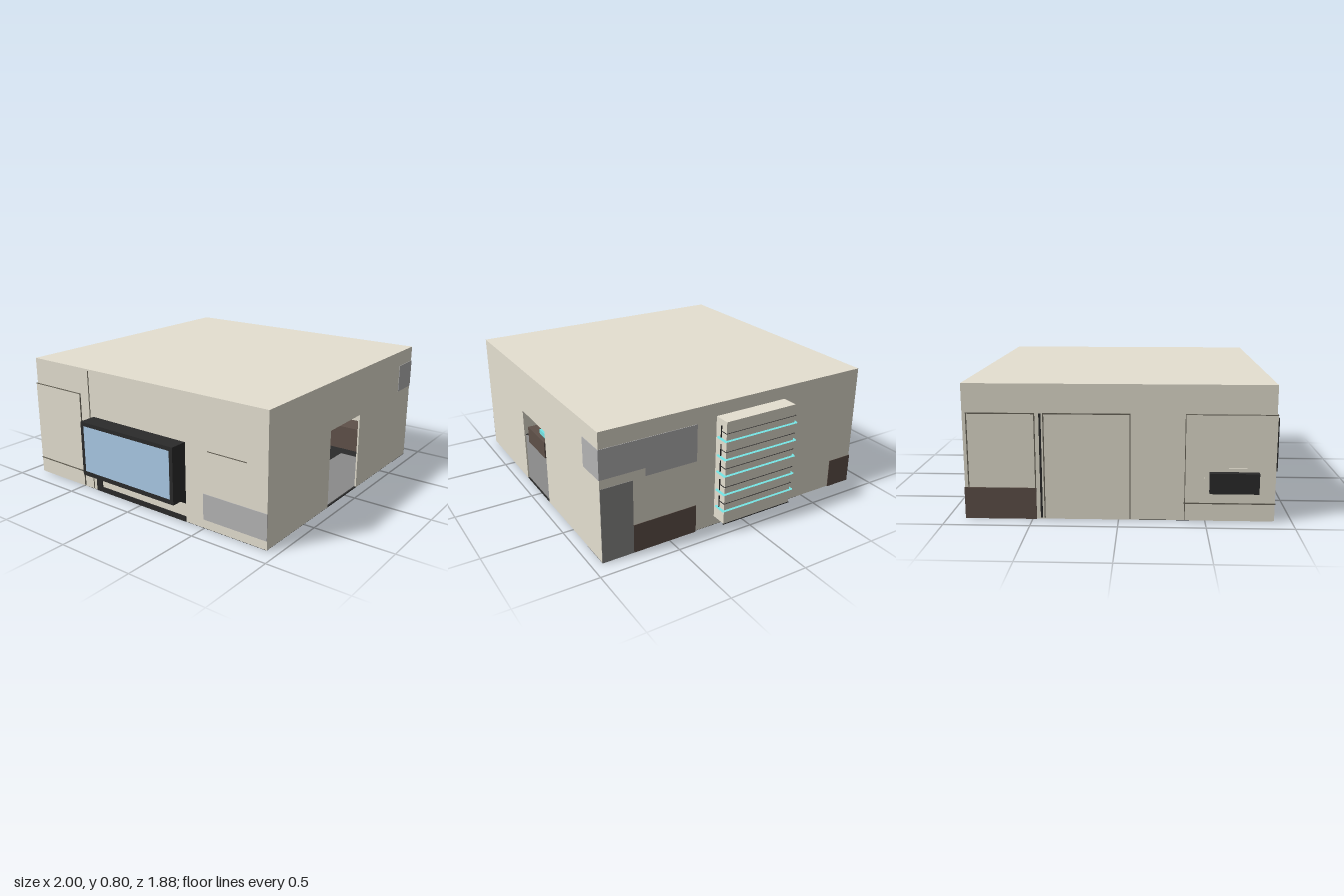
import * as THREE from 'three';

function mat(name, color) {
  const m = new THREE.MeshStandardMaterial({ color });
  m.name = name;
  return m;
}

export function createModel() {
  const room = new THREE.Group();
  room.name = 'room';

  const wall = mat('wall beige', 0xe5e0d1);
  const black = mat('black', 0x2b2b2b);
  const grey = mat('light grey', 0xb4b4b5);
  const darkGrey = mat('dark grey', 0x8b8b8a);
  const brown = mat('brown', 0x5f5149);
  const cyan = mat('cyan', 0x76e6e6);
  const blue = mat('glass blue', 0xabcbe7);
  const seam = mat('seam', 0x6a665a);
  // Blades are open sheets, so both faces show
  const bladeCyan = mat('blade cyan', 0x76e6e6);
  const bladeBlack = mat('blade black', 0x2b2b2b);
  bladeCyan.side = bladeBlack.side = THREE.DoubleSide;

  function add(name, geometry, material, parent = room) {
    const m = new THREE.Mesh(geometry, material);
    m.name = name;
    parent.add(m);
    return m;
  }

  // Box given by its limits on each axis
  function box(name, material, x0, x1, y0, y1, z0, z1, parent = room) {
    const m = add(name, new THREE.BoxGeometry(x1 - x0, y1 - y0, z1 - z0), material, parent);
    m.position.set((x0 + x1) / 2, (y0 + y1) / 2, (z0 + z1) / 2);
    return m;
  }

  // Thin upright plate with rounded corners, facing +z
  function roundedPlate(name, material, x0, x1, y0, y1, z, r, depth = 0.004) {
    const s = new THREE.Shape();
    s.moveTo(x0 + r, y0);
    s.lineTo(x1 - r, y0);
    s.quadraticCurveTo(x1, y0, x1, y0 + r);
    s.lineTo(x1, y1 - r);
    s.quadraticCurveTo(x1, y1, x1 - r, y1);
    s.lineTo(x0 + r, y1);
    s.quadraticCurveTo(x0, y1, x0, y1 - r);
    s.lineTo(x0, y0 + r);
    s.quadraticCurveTo(x0, y0, x0 + r, y0);
    const g = new THREE.ExtrudeGeometry(s, { depth, bevelEnabled: false, curveSegments: 6 });
    g.translate(0, 0, z);
    return add(name, g, material);
  }

  // Shell: roof, side and back walls
  const X = 0.89, ZB = -0.89, ZF = 0.935, T = 0.01, Y0 = 0.006;
  box('roof', wall, -X, X, 0.79, 0.8, ZB, ZF);
  box('leftWall', wall, X - T, X, Y0, 0.79, ZB, ZF);
  box('rightWall', wall, -X, -X + T, Y0, 0.79, ZB, ZF);
  box('backWall', wall, -X + T, X - T, Y0, 0.79, ZB, ZB + T);

  // Front wall with the doorway
  box('frontWallRight', wall, -X + T, -0.23, Y0, 0.79, ZF - T, ZF);
  box('frontWallLeft', wall, 0.14, X - T, Y0, 0.79, ZF - T, ZF);
  box('doorLintel', wall, -0.23, 0.14, 0.5, 0.79, ZF - T, ZF);

  // Floor: black main slab, paler strip behind with a black section
  const FX = X - 0.002;
  box('floor', black, -FX, FX, 0.003, 0.01, -0.46, ZF - 0.002);
  box('backFloorLeft', wall, -0.1, FX, 0.003, 0.01, ZB + 0.002, -0.46);
  box('backFloorMiddle', black, -0.41, -0.1, 0.003, 0.01, ZB + 0.002, -0.46);
  box('backFloorRight', wall, -FX, -0.41, 0.003, 0.01, ZB + 0.002, -0.46);
  box('entranceMat', darkGrey, -0.85, 0.6, 0.01, 0.014, 0.58, ZF - T);

  // Interior partition with screen, slot and inner doorway
  box('partition', wall, -X + T, X - T, 0.01, 0.79, -0.47, -0.46);
  roundedPlate('screenFrame', seam, -0.4, -0.09, 0.163, 0.485, -0.46, 0.035, 0.003);
  roundedPlate('screen', cyan, -0.4, -0.1, 0.172, 0.475, -0.457, 0.03);
  box('screenShade', black, -0.37, -0.167, 0.174, 0.473, -0.453, -0.448);
  box('screenBar', wall, -0.37, -0.167, 0.405, 0.42, -0.448, -0.445);
  roundedPlate('slot', black, -0.4, -0.1, 0.04, 0.11, -0.46, 0.012);
  roundedPlate('innerDoorFrame', seam, -0.05, 0.26, 0.02, 0.56, -0.46, 0.035, 0.003);
  roundedPlate('innerDoor', black, -0.04, 0.25, 0.03, 0.55, -0.457, 0.03);
  roundedPlate('innerDoorGlass', blue, 0.105, 0.25, 0.035, 0.545, -0.453, 0.02);

  // Small console inside the door
  box('console', brown, -0.6, -0.3, 0.08, 0.2, 0.54, 0.78);
  box('consoleLeg', black, -0.55, -0.4, 0.01, 0.08, 0.58, 0.72);
  box('consoleScreen', cyan, -0.45, -0.34, 0.2, 0.235, 0.69, 0.75);

  // Colour blocks showing through the walls and floor
  const P = X + 0.003;
  box('upperPatch', grey, 0.7, P, 0.52, 0.7, 0.32, ZF + 0.003);
  box('upperPatchStep', grey, 0.7, P, 0.47, 0.52, 0.32, 0.655);
  box('cornerPatch', darkGrey, 0.7, P, 0, 0.465, 0.735, ZF - 0.001);
  box('lowerPatch', brown, 0.7, P, 0, 0.18, 0.32, 0.735);
  box('backCornerPatch', brown, 0.475, P, 0.002, 0.19, ZB - 0.004, -0.72);
  box('rightWallPatch', grey, -P, -X + 0.004, 0.06, 0.22, 0.5, ZF);
  box('rightWallSeam', seam, -X - 0.002, -X, 0.478, 0.483, 0.53, 0.8);

  // Side radiator crossed by thin level blades, with short upright sheets between
  const radiator = new THREE.Group();
  radiator.name = 'radiator';
  room.add(radiator);
  function blade(name, material, x0, x1, y, z0, z1) {
    const m = add(name, new THREE.PlaneGeometry(x1 - x0, z1 - z0), material, radiator);
    m.rotation.x = -Math.PI / 2;
    m.position.set((x0 + x1) / 2, y, (z0 + z1) / 2);
  }
  box('radiatorBody', wall, X, 0.99, 0.065, 0.72, -0.3, 0.19, radiator);
  box('radiatorLip', black, 0.984, 0.992, 0.06, 0.065, -0.303, 0.193, radiator);
  for (const y of [0.15, 0.26, 0.38, 0.485, 0.6]) {
    blade('blade', bladeCyan, 0.915, 1, y, -0.318, 0.204);
    blade('blade', bladeCyan, 0.915, 1, y + 0.006, -0.318, 0.204);
    blade('bladeShadow', bladeBlack, 0.94, 0.997, y + 0.05, -0.308, 0.197);
    for (const z of [-0.304, 0.194]) {
      const post = add('bladePost', new THREE.PlaneGeometry(0.01, 0.075), bladeBlack, radiator);
      post.rotation.y = Math.PI / 2;
      post.position.set(0.945, y + 0.047, z);
    }
  }

  // Large side window in a black frame, with a sloped sill
  box('windowFrame', black, -1, -X, 0.15, 0.5, -0.37, 0.37);
  box('windowGlass', blue, -1.001, -0.998, 0.18, 0.475, -0.345, 0.345);
  const sill = new THREE.Shape([
    new THREE.Vector2(-X, 0.12), new THREE.Vector2(-X, 0.15), new THREE.Vector2(-0.92, 0.15),
  ]);
  const sillGeo = new THREE.ExtrudeGeometry(sill, { depth: 0.74, bevelEnabled: false });
  sillGeo.translate(0, 0, -0.37);
  add('windowSill', sillGeo, black);
  box('windowSkirting', black, -0.896, -X, 0.007, 0.04, -0.37, 0.37);
  box('windowPost', black, -0.896, -X, 0.007, 0.15, -0.37, -0.32);

  // Raised panel wrapped round the back right corner, with a skirting strip
  box('cornerPanel', wall, -0.896, -0.38, 0.01, 0.63, -0.896, -0.48);
  box('cornerPanelTrim', seam, -0.899, -0.375, 0.107, 0.114, -0.899, -0.475);
  box('cornerPanelTop', seam, -0.897, -0.379, 0.628, 0.632, -0.897, -0.479);
  box('cornerPanelEdge', seam, -0.383, -0.379, 0.01, 0.63, -0.897, -0.88);
  box('cornerPanelSideEdge', seam, -0.897, -0.88, 0.01, 0.63, -0.483, -0.479);

  // Wall unit on the back
  box('wallUnitPlate', wall, -0.83, -0.49, 0.16, 0.32, -0.9, -0.89);
  box('wallUnit', black, -0.8, -0.52, 0.18, 0.3, -0.938, -0.89);

  // Back door outlines
  const zs = ZB - 0.003;
  for (const [x0, x1] of [[0.475, 0.87], [-0.07, 0.43]]) {
    box('backDoorTop', seam, x0, x1, 0.625, 0.632, zs, ZB);
    box('backDoorEdge', seam, x0, x0 + 0.006, 0.01, 0.63, zs, ZB);
    box('backDoorEdge', seam, x1 - 0.006, x1, 0.01, 0.63, zs, ZB);
  }
  box('backDoorGap', black, 0.44, 0.452, 0.01, 0.63, zs, ZB);

  // Vertical joint beside the window
  box('wallJoint', seam, -X - 0.002, -X, 0.01, 0.79, -0.405, -0.398);

  return room;
}
